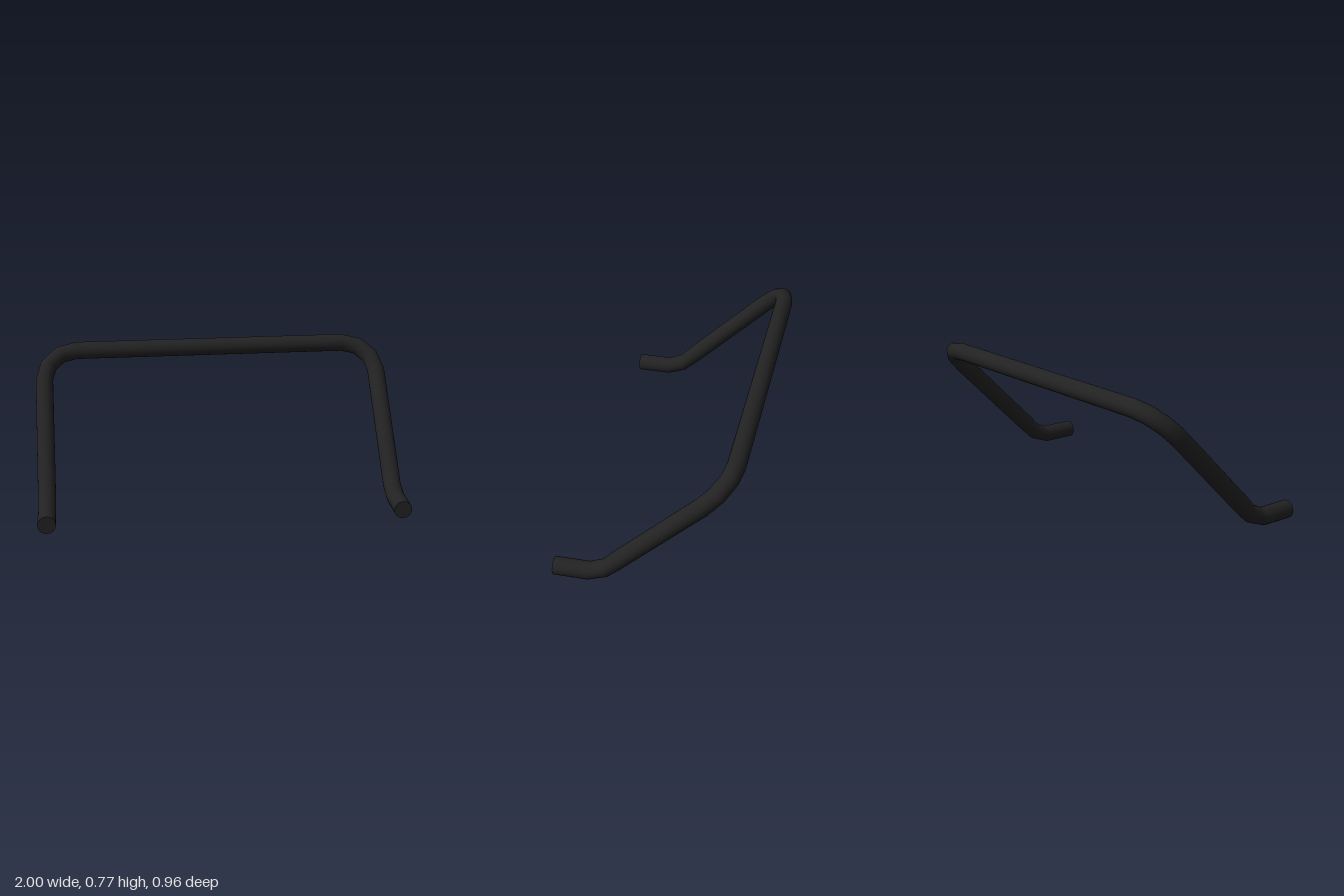
import * as THREE from 'three';

const RADIUS = 0.0485;
const SIDES = 24;
const LEG_X = 0.9515;
const FOOT_Z = 0.48;

// One cross-section: centre p, travel direction t, and b, an axis across the tube.
function section(p, t, b) {
  return { p: new THREE.Vector3(...p), t: new THREE.Vector3(...t), b: new THREE.Vector3(...b) };
}

// Left half of the bar, from the foot up to the end of the corner bend.
function halfBar() {
  const rings = [];
  // foot and ankle bend: z, y, tilt in degrees
  for (const [z, y, deg] of [[FOOT_Z, RADIUS, 0], [0.295, RADIUS, 0], [0.205, 0.085, 20], [0.145, 0.145, 45]]) {
    const s = Math.sin(deg * Math.PI / 180), c = Math.cos(deg * Math.PI / 180);
    rings.push(section([LEG_X, y, z], [0, s, -c], [0, c, s]));
  }
  // corner bend, lying in the plane sloped at 45 degrees
  const R = 0.185, k = Math.SQRT1_2;
  for (let i = 0; i <= 3; i++) {
    const s = Math.sin(i * Math.PI / 6), c = Math.cos(i * Math.PI / 6);
    const drop = R * (1 - s) * k;
    rings.push(section([LEG_X - R * (1 - c), 0.722 - drop, -0.4315 + drop], [-s, c * k, -c * k], [0, k, k]));
  }
  return rings;
}

// Skin a run of cross-sections with a round tube.
function tubeGeometry(rings) {
  const positions = [], index = [];
  rings.forEach(({ p, t, b }, i) => {
    const a = b.clone().cross(t);
    for (let j = 0; j < SIDES; j++) {
      const angle = j / SIDES * Math.PI * 2;
      const v = p.clone()
        .addScaledVector(a, Math.cos(angle) * RADIUS)
        .addScaledVector(b, Math.sin(angle) * RADIUS);
      positions.push(v.x, v.y, v.z);
      if (i === 0) continue;
      const n = (j + 1) % SIDES, lo = (i - 1) * SIDES, hi = i * SIDES;
      index.push(lo + j, lo + n, hi + j, lo + n, hi + n, hi + j);
    }
  });
  const geometry = new THREE.BufferGeometry();
  geometry.setAttribute('position', new THREE.Float32BufferAttribute(positions, 3));
  geometry.setIndex(index);
  geometry.computeVertexNormals();
  return geometry;
}

export function createModel() {
  const group = new THREE.Group();
  group.name = 'bentTubeBar';
  const material = new THREE.MeshStandardMaterial({ color: 0x222222 });

  // the whole bar: left half, then its mirror in reverse order
  const left = halfBar();
  const right = left.map(({ p, t, b }) =>
    section([-p.x, p.y, p.z], [t.x, -t.y, -t.z], [b.x, b.y, b.z])).reverse();
  const bar = new THREE.Mesh(tubeGeometry([...left, ...right]), material);
  bar.name = 'bar';
  group.add(bar);

  // flat caps on both feet
  for (const side of [1, -1]) {
    const cap = new THREE.Mesh(new THREE.CircleGeometry(RADIUS, SIDES), material);
    cap.name = side > 0 ? 'leftEndCap' : 'rightEndCap';
    cap.position.set(side * LEG_X, RADIUS, FOOT_Z);
    group.add(cap);
  }
  return group;
}
